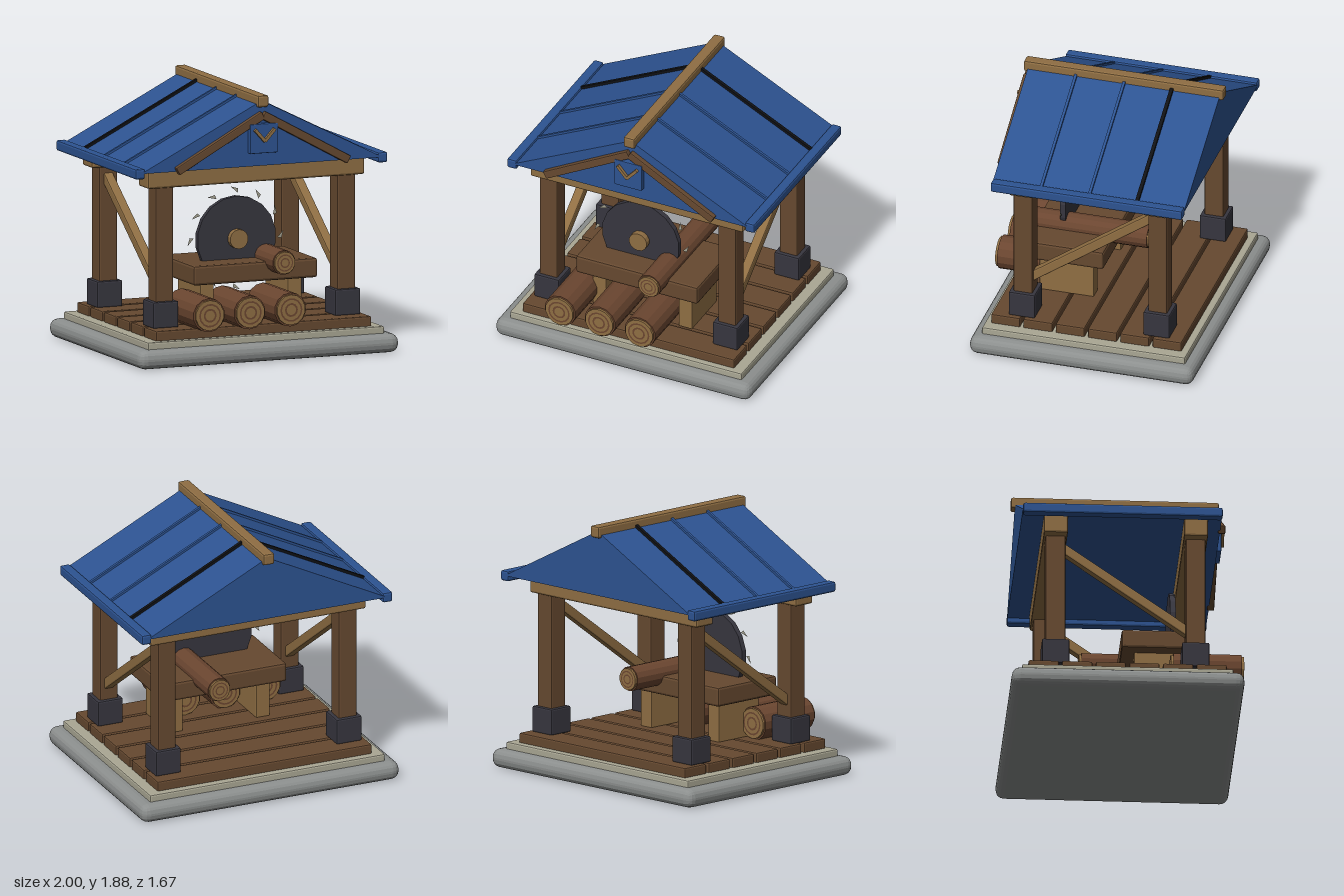
import * as THREE from 'three';
import { RoundedBoxGeometry } from 'three/addons/geometries/RoundedBoxGeometry.js';

const mat = (name, color, extra = {}) => new THREE.MeshStandardMaterial({ name, color, ...extra });

export function createModel() {
  const root = new THREE.Group();
  root.name = 'sawmill';
  const stone = mat('grey stone', 0x8c8f8e);
  const trim = mat('pale stone', 0xaaa794);
  const brown = mat('dark wood', 0x664930);
  const bark = mat('bark', 0x6b4630);
  const tan = mat('light wood', 0x8f6e43);
  const iron = mat('dark iron', 0x37363f);
  const blue = mat('blue roof', 0x2d5391);
  const black = mat('black seam', 0x101114);
  const steel = mat('pale steel', 0xa5a392, { side: THREE.DoubleSide });

  // Faceted normals
  const flat = (g) => {
    const f = g.index ? g.toNonIndexed() : g;
    f.computeVertexNormals();
    return f;
  };
  const add = (name, geo, material, x = 0, y = 0, z = 0, parent = root) => {
    const m = new THREE.Mesh(geo, material);
    m.name = name;
    m.position.set(x, y, z);
    parent.add(m);
    return m;
  };
  // Chamfered box given by its minimum and maximum corners
  const block = (name, material, [x0, y0, z0], [x1, y1, z1], bevel = 0.012, seg = 1) =>
    add(name, flat(new RoundedBoxGeometry(x1 - x0, y1 - y0, z1 - z0, seg, bevel)), material,
      (x0 + x1) / 2, (y0 + y1) / 2, (z0 + z1) / 2);
  const zCylinder = (r, length, sides) =>
    flat(new THREE.CylinderGeometry(r, r, length, sides).rotateX(Math.PI / 2));

  // Foundation and floor
  block('foundation', stone, [-1, 0, -0.835], [1, 0.135, 0.81], 0.06, 2);
  block('foundationTrim', trim, [-0.91, 0.12, -0.76], [0.91, 0.185, 0.735]);
  for (let i = 0; i < 6; i++) {
    const z = 0.585 - i * 0.2375;
    block('floorPlank', brown, [-0.83, 0.175, z - 0.107], [0.83, 0.255, z + 0.107]);
  }

  // Posts, iron feet, cross beams and braces
  for (const z of [0.475, -0.515]) {
    for (const x of [-0.7, 0.7]) {
      block('post', brown, [x - 0.07, 0.25, z - 0.07], [x + 0.07, 1.27, z + 0.07]);
      block('postFoot', iron, [x - 0.098, 0.25, z - 0.097], [x + 0.098, 0.44, z + 0.097]);
    }
    block('crossBeam', tan, [-0.835, 1.25, z - 0.085], [0.835, 1.39, z + 0.085], 0.015);
  }
  for (const x of [-0.7, 0.7]) {
    const dy = 0.64, dz = -0.905;
    const brace = add('brace', flat(new RoundedBoxGeometry(0.07, 0.07, Math.hypot(dy, dz), 1, 0.01)),
      tan, x, 0.867, -0.022);
    brace.rotation.x = Math.atan2(dy, -dz);
  }

  // Roof body with a flat underside
  const gable = new THREE.Shape();
  gable.moveTo(-0.93, 1.38);
  gable.lineTo(0.93, 1.38);
  gable.lineTo(0, 1.845);
  gable.closePath();
  add('roof', new THREE.ExtrudeGeometry(gable, { depth: 1.41, bevelEnabled: false }), blue, 0, 0, -0.755);
  block('ridgeBeam', tan, [-0.043, 1.8, -0.785], [0.043, 1.885, 0.685], 0.015);

  const slope = Math.atan(0.5);
  for (const s of [-1, 1]) {
    const ex = s * 0.933;
    block('eaveBar', blue, [ex - 0.038, 1.34, -0.755], [ex + 0.038, 1.415, 0.655], 0.015);
    // Roof seams
    for (const [z, material, w, lift] of [[0.3, blue, 0.02, 0.006], [-0.055, blue, 0.02, 0.006],
      [-0.405, black, 0.025, 0.01]]) {
      const seam = add('roofSeam', new THREE.BoxGeometry(0.98, 0.02, w), material,
        s * 0.465, 1.6125 + lift, z);
      seam.rotation.z = -s * slope;
    }
    // Gable trim
    const rafter = add('gableTrim', flat(new RoundedBoxGeometry(0.75, 0.06, 0.05, 1, 0.008)), brown,
      s * 0.33, 1.564, 0.667);
    rafter.rotation.z = -s * Math.atan2(0.36, 0.655);
    // Chevron battens on the plaque
    const batten = add('chevronBatten', new THREE.BoxGeometry(0.115, 0.022, 0.025), tan,
      s * 0.037, 1.605, 0.708);
    batten.rotation.z = s * 0.84;
  }
  block('gablePlaque', blue, [-0.107, 1.475, 0.64], [0.107, 1.685, 0.697], 0.006);

  // Saw table
  block('sawTable', brown, [-0.48, 0.535, -0.03], [0.475, 0.675, 0.555], 0.018);
  for (const x of [-0.337, 0.337]) {
    block('tableLeg', tan, [x - 0.053, 0.25, 0.065], [x + 0.053, 0.545, 0.465], 0.008);
  }

  // Saw blade, hub and loose ring of flat teeth
  const saw = new THREE.Group();
  saw.name = 'saw';
  saw.position.set(-0.065, 0.82, 0.34);
  root.add(saw);
  add('blade', zCylinder(0.303, 0.04, 18), iron, 0, 0, 0, saw);
  add('hub', zCylinder(0.07, 0.06, 14), tan, 0, 0, 0.035, saw);
  const tooth = new THREE.Shape();
  tooth.moveTo(0.37, 0.037);
  tooth.lineTo(0.322, -0.016);
  tooth.lineTo(0.353, -0.021);
  tooth.closePath();
  const toothGeo = new THREE.ShapeGeometry(tooth);
  for (let i = 0; i < 12; i++) {
    add('tooth', toothGeo, steel, 0, 0, 0, saw).rotation.z = i * Math.PI / 6;
  }

  // Logs with growth rings on both ends
  const log = (x, y, r, z0, z1) => {
    const g = new THREE.Group();
    g.name = 'log';
    g.position.set(x, y, (z0 + z1) / 2);
    root.add(g);
    const len = z1 - z0;
    add('logBark', zCylinder(r, len - 0.04, 14), bark, 0, 0, 0, g);
    add('logCore', zCylinder(r * 0.9, len - 0.006, 14), tan, 0, 0, 0, g);
    for (const s of [-1, 1]) {
      for (const [a, b] of [[0.6, 0.7], [0.3, 0.41]]) {
        const ring = new THREE.RingGeometry(r * a, r * b, 14);
        add('growthRing', ring, bark, 0, 0, s * len / 2, g).rotation.y = s < 0 ? Math.PI : 0;
      }
    }
  };
  log(0.16, 0.68, 0.088, -0.3, 0.7);
  for (const x of [-0.475, -0.163, 0.15]) log(x, 0.365, 0.121, 0.31, 0.833);

  return root;
}
